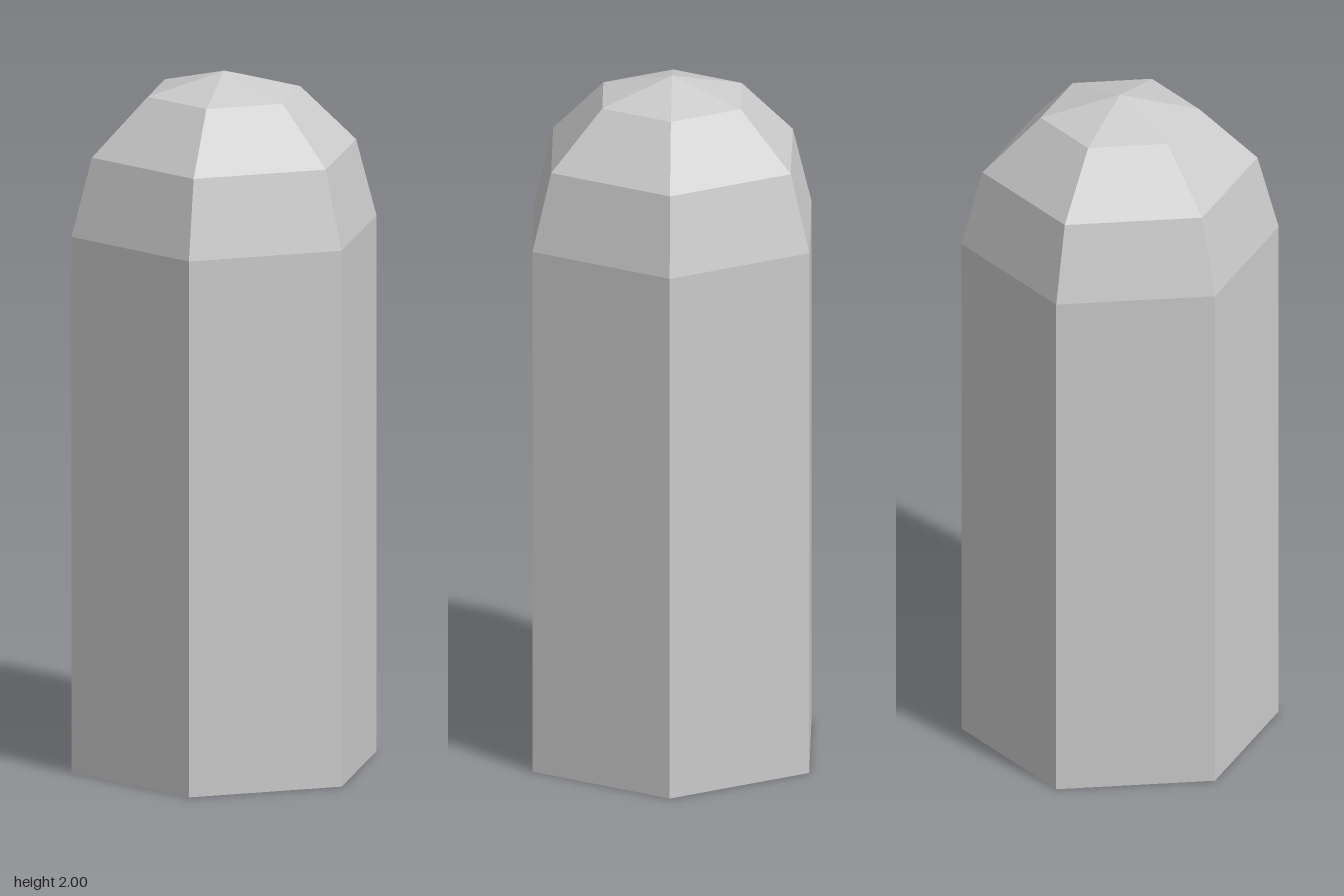
import * as THREE from 'three';

export function createModel() {
  const group = new THREE.Group();
  group.name = 'domedPost';

  const sides = 6, radius = 0.45, shoulder = 1.55, domeSteps = 3;

  // Profile from the base centre, up the shaft and over the quarter-round dome
  const profile = [new THREE.Vector2(0, 0), new THREE.Vector2(radius, 0)];
  for (let i = 0; i < domeSteps; i++) {
    const a = (i / domeSteps) * Math.PI / 2;
    profile.push(new THREE.Vector2(radius * Math.cos(a), shoulder + radius * Math.sin(a)));
  }
  profile.push(new THREE.Vector2(0, shoulder + radius));

  // Hexagonal body with corners on the x axis and flats facing front and back
  const geometry = new THREE.LatheGeometry(profile, sides, Math.PI / 2).toNonIndexed();
  geometry.computeVertexNormals();
  const body = new THREE.Mesh(
    geometry,
    new THREE.MeshStandardMaterial({ color: 0xcccccc, flatShading: true })
  );
  body.name = 'hexagonalPost';
  group.add(body);
  return group;
}
